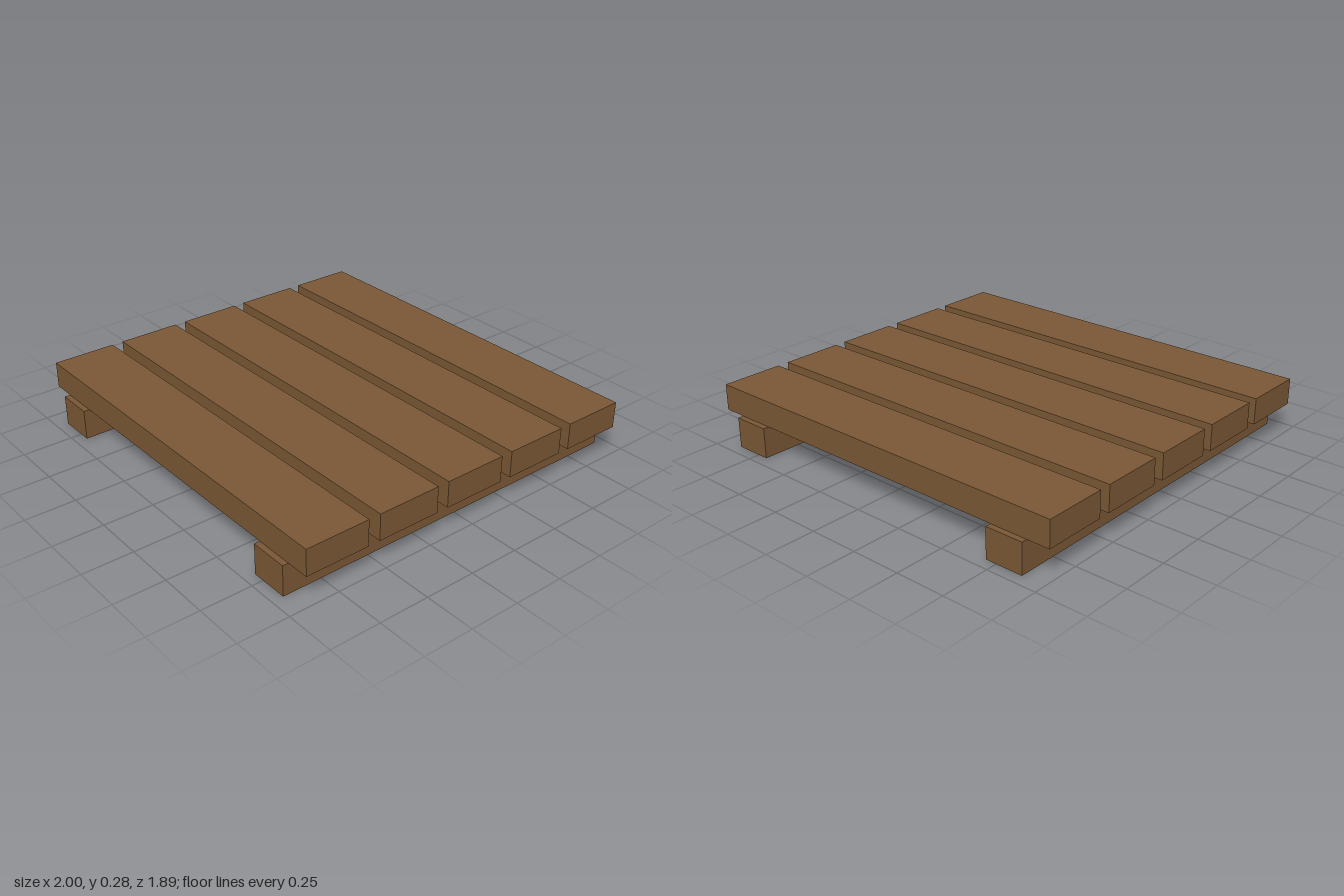
import * as THREE from 'three';

export function createModel() {
  const group = new THREE.Group();
  const wood = new THREE.MeshStandardMaterial({ color: 0x7a5835 });
  wood.name = 'brown wood';

  const beamHeight = 0.152, plankHeight = 0.131;

  function addBoard(name, size, position) {
    const mesh = new THREE.Mesh(new THREE.BoxGeometry(...size), wood);
    mesh.name = name;
    mesh.position.set(...position);
    group.add(mesh);
  }

  // Two bearer beams running front to back
  for (const side of [-1, 1]) {
    addBoard(side > 0 ? 'leftBeam' : 'rightBeam',
      [0.19, beamHeight, 1.888], [side * 0.79, beamHeight / 2, 0]);
  }

  // Five deck planks laid across the beams
  for (let i = 0; i < 5; i++) {
    addBoard(`deckPlank${i + 1}`,
      [2, plankHeight, 0.319], [0, beamHeight + plankHeight / 2, (i - 2) * 0.378]);
  }

  return group;
}
